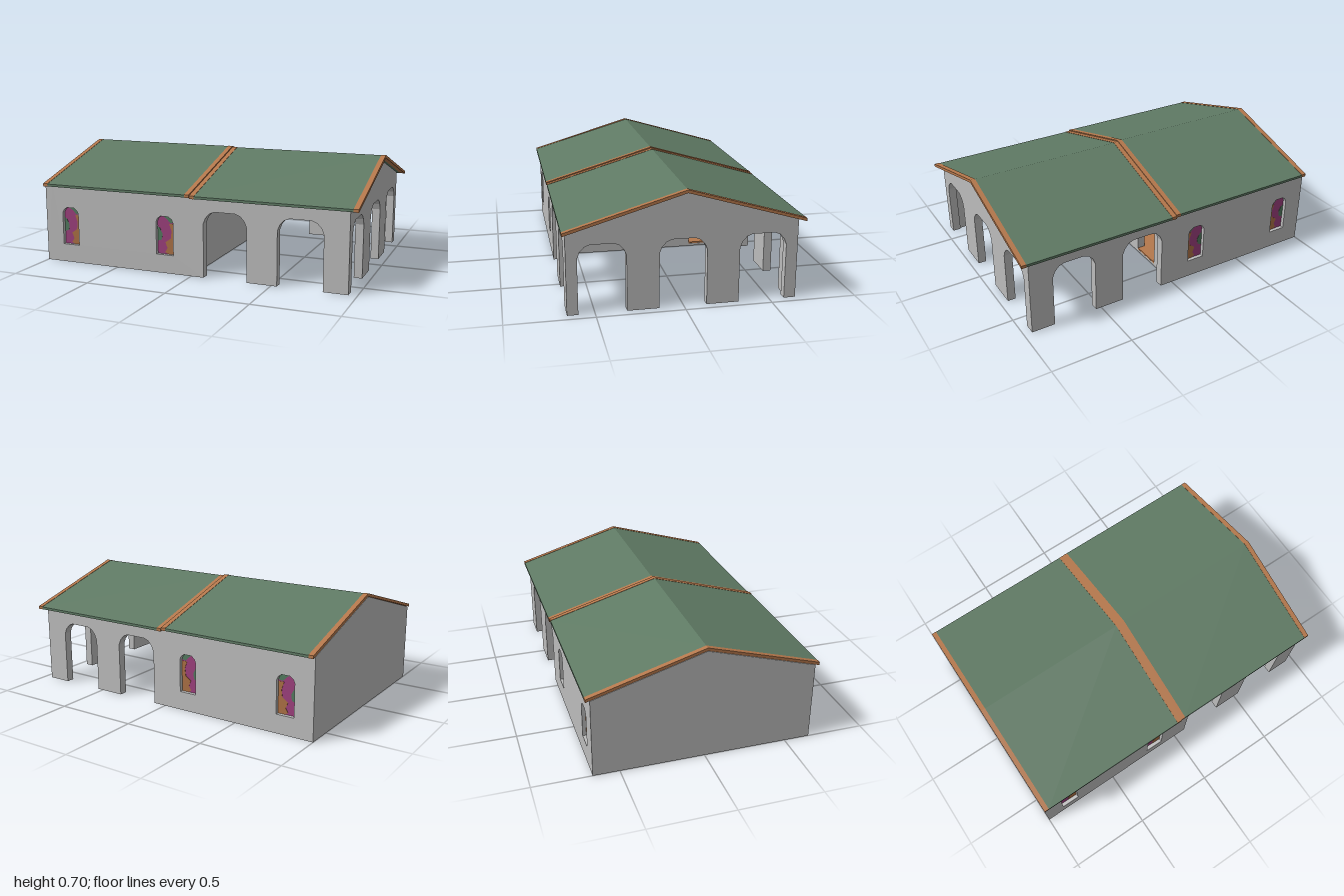
import * as THREE from 'three';

const mat = (name, color) => {
  const m = new THREE.MeshStandardMaterial({ color });
  m.name = name;
  return m;
};

export function createModel() {
  const wallGrey = mat('wall grey', 0xbcbcbc);
  const roofGreen = mat('roof green', 0x5f7a64);
  const wood = mat('wood orange', 0xb5784c);
  const glassMagenta = mat('glass magenta', 0x9c3f7c);
  const glassOrange = mat('glass orange', 0xab7044);
  const glassGreen = mat('glass green', 0x527a5e);

  const T = 0.05;         // wall thickness
  const HALF = 0.655;     // half depth of the building
  const EAVE = 0.482, APEX = 0.676;
  const group = new THREE.Group();

  const poly = (pts) => new THREE.Shape(pts.map(([x, y]) => new THREE.Vector2(x, y)));
  const extrude = (shape, depth) =>
    new THREE.ExtrudeGeometry(shape, { depth, bevelEnabled: false });
  const add = (name, geo, material, x = 0, y = 0, z = 0, parent = group) => {
    const m = new THREE.Mesh(geo, material);
    m.name = name;
    m.position.set(x, y, z);
    parent.add(m);
    return m;
  };

  // Notch outline of an arched opening that reaches the ground
  const archNotch = (c, w = 0.27) => {
    const h = w / 2;
    return [[c - h, 0], [c - h, 0.325], [c - h + 0.014, 0.36], [c - h + 0.04, 0.388],
      [c - h + 0.07, 0.4], [c + h - 0.07, 0.4], [c + h - 0.04, 0.388],
      [c + h - 0.014, 0.36], [c + h, 0.325], [c + h, 0]];
  };

  // Window outline around x = 0
  const windowPts = [[-0.056, 0.113], [0.056, 0.113], [0.056, 0.312], [0.047, 0.332],
    [0.026, 0.348], [-0.026, 0.348], [-0.047, 0.332], [-0.056, 0.312]];
  const windowX = [-0.825, -0.172];

  // Long walls with two arches and two windows
  for (const side of [1, -1]) {
    const shape = poly([[-1 + T, 0], ...archNotch(0.215), ...archNotch(0.67),
      [0.95 - T, 0], [0.95 - T, EAVE], [-1 + T, EAVE]]);
    for (const wx of windowX)
      shape.holes.push(new THREE.Path(windowPts.map(([x, y]) => new THREE.Vector2(x + wx, y))));
    add(side > 0 ? 'frontWall' : 'backWall', extrude(shape, T), wallGrey,
      0, 0, side > 0 ? HALF - T : -HALF);
  }

  // Gable walls: profile runs along -z, thickness along +x
  const gable = (name, x, half, bottom, hole) => {
    const edge = APEX - (APEX - EAVE) * half / HALF;
    const shape = poly([[-half, 0], ...bottom, [half, 0], [half, edge], [0, APEX], [-half, edge]]);
    if (hole) shape.holes.push(new THREE.Path(hole.map(([u, y]) => new THREE.Vector2(u, y))));
    add(name, extrude(shape, T), wallGrey, x).rotation.y = Math.PI / 2;
  };
  gable('leftEndWall', -1, HALF, []);
  gable('partitionWall', -T, HALF - T, [],
    [[0.263, 0.015], [0.454, 0.015], [0.454, 0.33], [0.263, 0.33]]);
  gable('arcadeEndWall', 0.95 - T, HALF,
    [-0.4575, -0.0045, 0.4525].flatMap((c) => archNotch(c)));

  // Room base and boarded floor, with a threshold in the doorway
  const inner = 2 * (HALF - T);
  add('roomBase', new THREE.BoxGeometry(0.9, 0.014, inner), wallGrey, -0.5, 0.007, 0);
  add('roomFloor', new THREE.BoxGeometry(0.9, 0.012, inner), wood, -0.5, 0.02, 0);
  add('doorThreshold', new THREE.BoxGeometry(T, 0.01, 0.191), wood, -T / 2, 0.021, -0.3585);

  // Stained glass: one base plate with coloured patches on both faces
  const patches = [
    ['greenTopPane', glassGreen, 0.006,
      [[-0.024, 0.347], [0.026, 0.348], [0.047, 0.332], [0.056, 0.31], [0.03, 0.304], [0.004, 0.33]]],
    ['greenSidePane', glassGreen, 0.006,
      [[-0.056, 0.19], [-0.03, 0.2], [-0.024, 0.235], [-0.042, 0.27], [-0.056, 0.28]]],
    ['orangePane', glassOrange, 0.007,
      [[0.056, 0.3], [0.02, 0.3], [0.036, 0.255], [0.03, 0.21], [-0.006, 0.185],
        [0.008, 0.15], [-0.008, 0.125], [0.012, 0.113], [0.056, 0.113]]],
  ];
  for (const z of [HALF - T / 2, -HALF + T / 2]) {
    for (const wx of windowX) {
      const win = new THREE.Group();
      win.name = 'stainedGlassWindow';
      win.position.set(wx, 0, z);
      group.add(win);
      add('magentaPane', extrude(poly(windowPts), 0.004), glassMagenta, 0, 0, -0.002, win);
      for (const [name, m, d, pts] of patches)
        add(name, extrude(poly(pts), d), m, 0, 0, -d / 2, win);
    }
  }

  // Roof: chevron profile swept along x, with wooden verge strips at both ends
  const chevron = (name, x0, x1, top, thick, material, y, z) => {
    const e = 0.68, drop = 0.201;
    const shape = poly([[-e, top - drop - thick], [0, top - thick], [e, top - drop - thick],
      [e, top - drop], [0, top], [-e, top - drop]]);
    add(name, extrude(shape, x1 - x0), material, x0, y, z).rotation.y = Math.PI / 2;
  };
  const roofSection = (prefix, x0, x1, y, z) => {
    const s = 0.03;
    chevron(prefix + 'RoofSlopes', x0 + s, x1 - s, 0.694, 0.015, roofGreen, y, z);
    chevron(prefix + 'RoofVergeStart', x0, x0 + s, 0.696, 0.018, wood, y, z);
    chevron(prefix + 'RoofVergeEnd', x1 - s, x1, 0.696, 0.018, wood, y, z);
  };
  roofSection('room', -1, 0, 0, 0);
  roofSection('arcade', 0, 1, -0.006, -0.004);

  return group;
}
